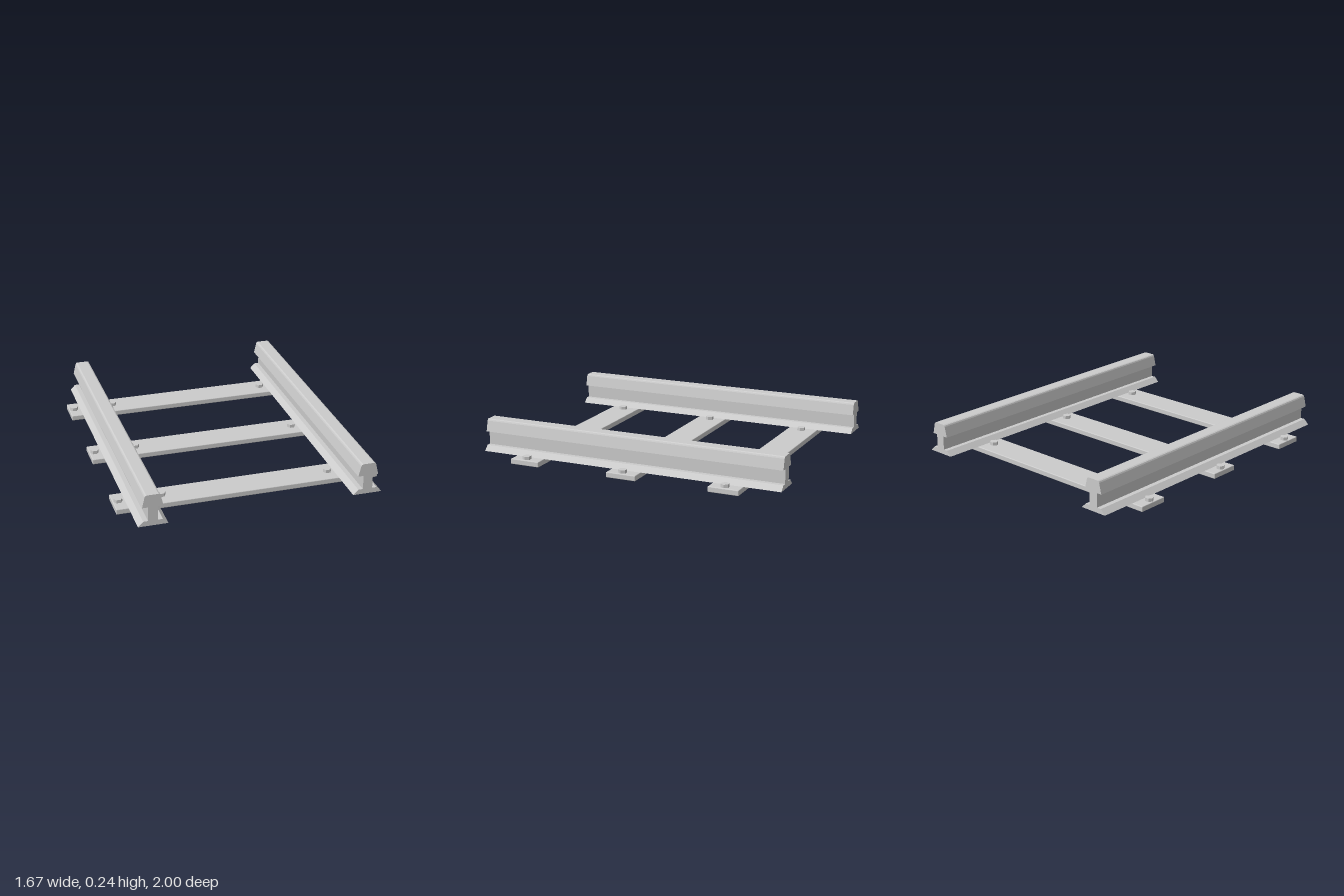
import * as THREE from 'three';
import { RoundedBoxGeometry } from 'three/addons/geometries/RoundedBoxGeometry.js';

const SLEEPER_TOP = 0.035;
const RAIL_X = 0.667;

// Right half of the rail section, from foot to head, as [half width, height]
const RAIL_HALF = [
  [0.091, 0.035], [0.059, 0.067], [0.03, 0.067], [0.03, 0.157], [0.064, 0.157],
  [0.048, 0.224], [0.044, 0.232], [0.036, 0.236],
];

function railGeometry() {
  const mirrored = RAIL_HALF.map(([x, y]) => [-x, y]).reverse();
  const section = new THREE.Shape([...RAIL_HALF, ...mirrored].map(([x, y]) => new THREE.Vector2(x, y)));
  return new THREE.ExtrudeGeometry(section, { depth: 2, bevelEnabled: false }).translate(0, 0, -1);
}

export function createModel() {
  const model = new THREE.Group();
  model.name = 'trackSection';
  const material = new THREE.MeshStandardMaterial({ color: 0xcccccc, flatShading: true });

  const add = (name, geometry, x, y, z) => {
    const mesh = new THREE.Mesh(geometry, material);
    mesh.name = name;
    mesh.position.set(x, y, z);
    model.add(mesh);
  };

  // Two rails running front to back
  const rail = railGeometry();
  add('leftRail', rail, RAIL_X, 0, 0);
  add('rightRail', rail, -RAIL_X, 0, 0);

  // Three sleepers, each with a hex bolt on both sides of each rail
  const sleeper = new RoundedBoxGeometry(1.666, SLEEPER_TOP, 0.196, 2, 0.005);
  const bolt = new THREE.CylinderGeometry(0.027, 0.027, 0.024, 6).rotateY(Math.PI / 6);
  for (const z of [-0.667, 0, 0.667]) {
    add('sleeper', sleeper, 0, SLEEPER_TOP / 2, z);
    for (const side of [-1, 1]) {
      for (const offset of [-0.133, 0.133]) {
        add('bolt', bolt, side * (RAIL_X + offset), SLEEPER_TOP + 0.009, z);
      }
    }
  }
  return model;
}
